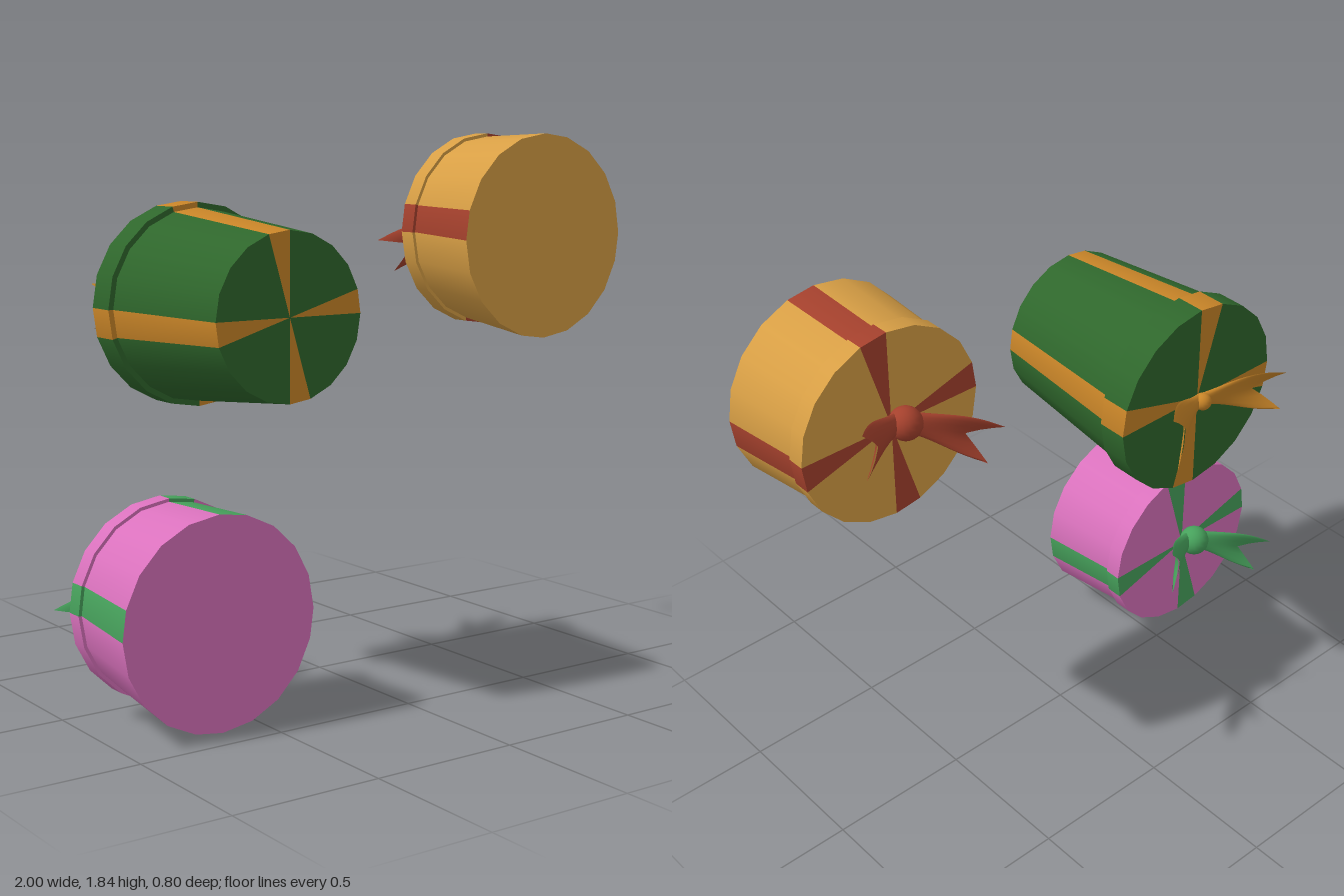
import * as THREE from 'three';
import { mergeGeometries } from 'three/addons/utils/BufferGeometryUtils.js';

const rad = THREE.MathUtils.degToRad;
const V = (x, y, z) => new THREE.Vector3(x, y, z);
const RIBBON = 16.5; // angular width of each ribbon strip, degrees

const makeMaterial = (name, color) => {
  const m = new THREE.MeshStandardMaterial({ color });
  m.name = name;
  return m;
};

// One sector of a surface of revolution about z; profile is [[radius, z], [radius, z]]
function sector(profile, startDeg, widthDeg, segments) {
  const points = profile.map(([r, z]) => new THREE.Vector2(r, z));
  return new THREE.LatheGeometry(points, segments, rad(startDeg + 90), rad(widthDeg)).rotateX(Math.PI / 2);
}

// Four ribbon sectors with four plain sectors between them
function addBand(lists, profile, startDeg, ribboned = true) {
  for (let i = 0; i < 4; i++) {
    const a = startDeg + i * 90;
    (ribboned ? lists.ribbon : lists.paper).push(sector(profile, a, RIBBON, 1));
    lists.paper.push(sector(profile, a + RIBBON, 90 - RIBBON, 4));
  }
}

// Forked ribbon tail: flattened tube that widens along its path and ends in a notch
function tail({ path, across, halfWidth, root, thick }) {
  const curve = new THREE.QuadraticBezierCurve3(...path);
  const geo = new THREE.PlaneGeometry(1, 1, 12, 16);
  const pos = geo.attributes.position;
  for (let iy = 0; iy <= 16; iy++) {
    const a = (iy / 16) * Math.PI * 2;
    const c = Math.cos(a), s = Math.sin(a);
    for (let ix = 0; ix <= 12; ix++) {
      const t = ix / 12;
      const along = t * (1 - 0.32 * t * (1 - Math.abs(c)));
      const d = curve.getTangent(along);
      const w = across.clone().addScaledVector(d, -across.dot(d)).normalize();
      const n = d.clone().cross(w);
      const width = THREE.MathUtils.lerp(root, halfWidth, THREE.MathUtils.smoothstep(t, 0, 0.85));
      const p = curve.getPoint(along)
        .addScaledVector(w, c * width)
        .addScaledVector(n, s * thick * (1 - 0.9 * t * t) + 0.012 * Math.cos(2 * a) * t);
      pos.setXYZ(iy * 13 + ix, p.x, p.y, p.z);
    }
  }
  geo.computeVertexNormals();
  return geo;
}

function giftBox(o) {
  const box = new THREE.Group();
  box.name = o.name;
  const add = (name, geometry, material) => {
    const mesh = new THREE.Mesh(geometry, material);
    mesh.name = name;
    box.add(mesh);
    return mesh;
  };

  // Body and lid, each in paper and ribbon
  const body = { paper: [], ribbon: [] }, lid = { paper: [], ribbon: [] };
  addBand(body, [[o.neckR, o.rimZ], [o.baseR, o.baseZ]], o.start);
  addBand(body, [[o.baseR, o.baseZ], [0, o.baseZ]], o.start, o.ribbonBase);
  addBand(lid, [[0, o.topZ], [o.lidR, o.topZ]], o.start);
  addBand(lid, [[o.lidR, o.topZ], [o.lidR, o.rimZ]], o.start);
  addBand(lid, [[o.lidR, o.rimZ], [o.neckR, o.rimZ]], o.start);
  const lean = new THREE.Matrix4().set(1, 0, 0, 0, 0, 1, o.lean, 0, 0, 0, 1, 0, 0, 0, 0, 1);
  for (const list of [body.paper, body.ribbon]) {
    list.forEach((g) => g.translate(0, 0, -o.rimZ).applyMatrix4(lean).translate(0, 0, o.rimZ));
  }
  add('boxBody', mergeGeometries(body.paper), o.paper);
  add('bodyRibbon', mergeGeometries(body.ribbon), o.ribbon);
  add('lid', mergeGeometries(lid.paper), o.paper);
  add('lidRibbon', mergeGeometries(lid.ribbon), o.ribbon);

  // Bow
  const knot = add('bowKnot', new THREE.SphereGeometry(o.knotR, 16, 12), o.ribbon);
  knot.position.copy(o.knotAt);
  o.tails.forEach((t) => add('bowTail', tail(t), o.ribbon));

  box.position.set(o.x, o.y, 0);
  return box;
}

export function createModel() {
  const model = new THREE.Group();
  model.name = 'giftBoxes';

  const amber = makeMaterial('amberPaper', 0xd89f45);
  const pink = makeMaterial('pinkPaper', 0xda72bd);
  const green = makeMaterial('darkGreenPaper', 0x2f672c);
  const red = makeMaterial('redRibbon', 0xa5412d);
  const mint = makeMaterial('mintRibbon', 0x47a25c);
  const gold = makeMaterial('goldRibbon', 0xc98528);

  // Two short boxes that widen towards the base
  const short = {
    baseR: 0.346, neckR: 0.322, lidR: 0.333, baseZ: 0.4, rimZ: 0.098, topZ: 0.038,
    start: -16, lean: -0.045, ribbonBase: false,
    knotR: 0.055, knotAt: V(-0.02, 0.025, -0.008),
    tails: [
      { path: [V(0, 0.03, 0.005), V(0.12, 0.05, -0.035), V(0.23, 0.09, -0.16)],
        across: V(-0.1, 1, 0.15), halfWidth: 0.075, root: 0.035, thick: 0.02 },
      { path: [V(-0.03, 0.02, 0.005), V(-0.14, -0.02, -0.06), V(-0.265, -0.1, -0.135)],
        across: V(-0.2, 1, 0.1), halfWidth: 0.065, root: 0.035, thick: 0.02 },
    ],
  };
  model.add(giftBox({ ...short, name: 'amberBox', x: 0.653, y: 1.511, paper: amber, ribbon: red }));
  model.add(giftBox({ ...short, name: 'pinkBox', x: -0.653, y: 0.361, paper: pink, ribbon: mint }));

  // Tall box that narrows towards the base
  model.add(giftBox({
    name: 'greenBox', x: -0.395, y: 1.28, paper: green, ribbon: gold,
    baseR: 0.27, neckR: 0.322, lidR: 0.34, baseZ: 0.4, rimZ: -0.137, topZ: -0.242,
    start: 0, lean: 0, ribbonBase: true,
    knotR: 0.03, knotAt: V(0, 0, -0.268),
    tails: [
      { path: [V(0, 0, -0.255), V(0.12, 0, -0.28), V(0.24, 0, -0.4)],
        across: V(0.05, 1, 0.1), halfWidth: 0.1, root: 0.025, thick: 0.014 },
      { path: [V(0, 0, -0.255), V(-0.13, 0, -0.285), V(-0.265, -0.01, -0.385)],
        across: V(-0.1, 1, -0.1), halfWidth: 0.075, root: 0.025, thick: 0.014 },
    ],
  }));

  return model;
}
